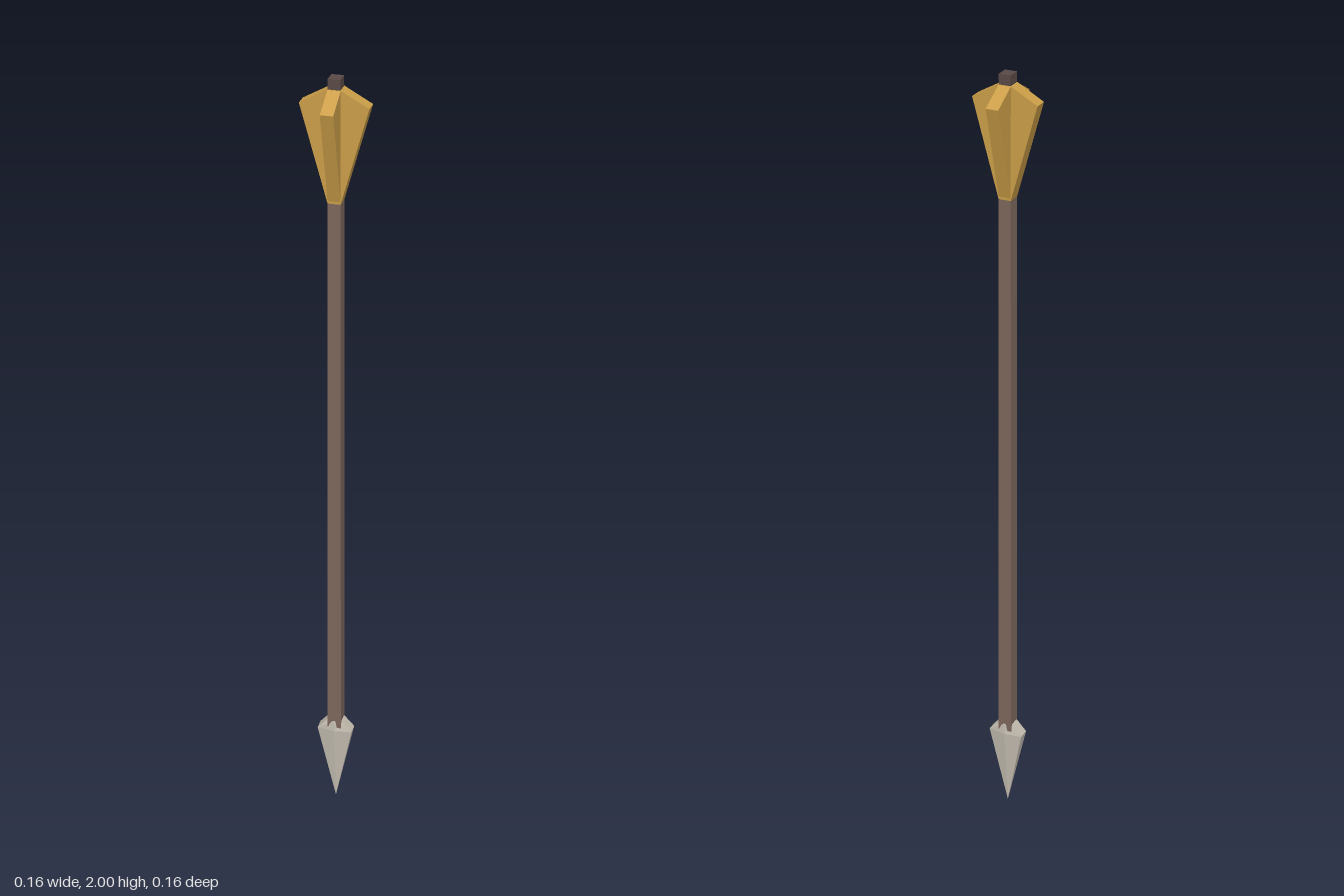
import * as THREE from 'three';

const paint = (name, color) => {
  const m = new THREE.MeshStandardMaterial({ color, flatShading: true });
  m.name = name;
  return m;
};

// Solid joining horizontal rings; each ring is { y, pts: [[x, z], ...] },
// listed bottom to top, points counter-clockwise seen from above.
function loft(rings) {
  const pos = [];
  const n = rings[0].pts.length;
  const at = (r, i) => {
    const [x, z] = rings[r].pts[i % n];
    return [x, rings[r].y, z];
  };
  const tri = (a, b, c) => pos.push(...a, ...b, ...c);
  const top = rings.length - 1;
  for (let r = 0; r < top; r++) {
    for (let i = 0; i < n; i++) {
      tri(at(r, i), at(r, i + 1), at(r + 1, i + 1));
      tri(at(r, i), at(r + 1, i + 1), at(r + 1, i));
    }
  }
  for (let i = 1; i < n - 1; i++) {
    tri(at(top, 0), at(top, i), at(top, i + 1));
    tri(at(0, 0), at(0, i + 1), at(0, i));
  }
  const g = new THREE.BufferGeometry();
  g.setAttribute('position', new THREE.Float32BufferAttribute(pos, 3));
  g.computeVertexNormals();
  return g;
}

// Rectangular ring, and a six-sided ring with a ridge along the middle
const rect = (y, x, z) => ({ y, pts: [[x, z], [x, -z], [-x, -z], [-x, z]] });
const ridged = (y, x, edge, ridge) => ({
  y, pts: [[x, edge], [x, -edge], [0, -ridge], [-x, -edge], [-x, edge], [0, ridge]],
});

export function createModel() {
  const group = new THREE.Group();
  const wood = paint('wood', 0x7c675c);
  const darkWood = paint('dark wood', 0x5a4a46);
  const gold = paint('gold feather', 0xcb9e48);
  const steel = paint('pale steel', 0xc3bcb0);

  const add = (name, geometry, material) => {
    const mesh = new THREE.Mesh(geometry, material);
    mesh.name = name;
    group.add(mesh);
    return mesh;
  };

  // Square shaft, tapering slightly toward the feathers
  add('shaft', loft([rect(0.23, 0.018, 0.0185), rect(1.965, 0.0148, 0.0165)]), wood);
  add('nock', loft([rect(1.965, 0.0148, 0.0165), rect(2, 0.0148, 0.0165)]), darkWood);

  // Downward-pointing head
  add('arrowhead', loft([
    ridged(0, 0.0002, 0.0001, 0.0002),
    ridged(0.22, 0.0455, 0.015, 0.0215),
    ridged(0.25, 0.02, 0.013, 0.0195),
  ]), steel);

  // Four thick feathers around the top of the shaft
  const profile = new THREE.Shape([
    [0, 1.7], [0.0155, 1.7], [0.082, 1.938], [0.0155, 1.975], [0, 1.975],
  ].map(([x, y]) => new THREE.Vector2(x, y)));
  for (let i = 0; i < 4; i++) {
    const half = i % 2 ? 0.0155 : 0.0172;
    const g = new THREE.ExtrudeGeometry(profile, { depth: 2 * half, bevelEnabled: false });
    g.translate(0, 0, -half);
    add('feather' + (i + 1), g, gold).rotation.y = (i * Math.PI) / 2;
  }
  return group;
}
